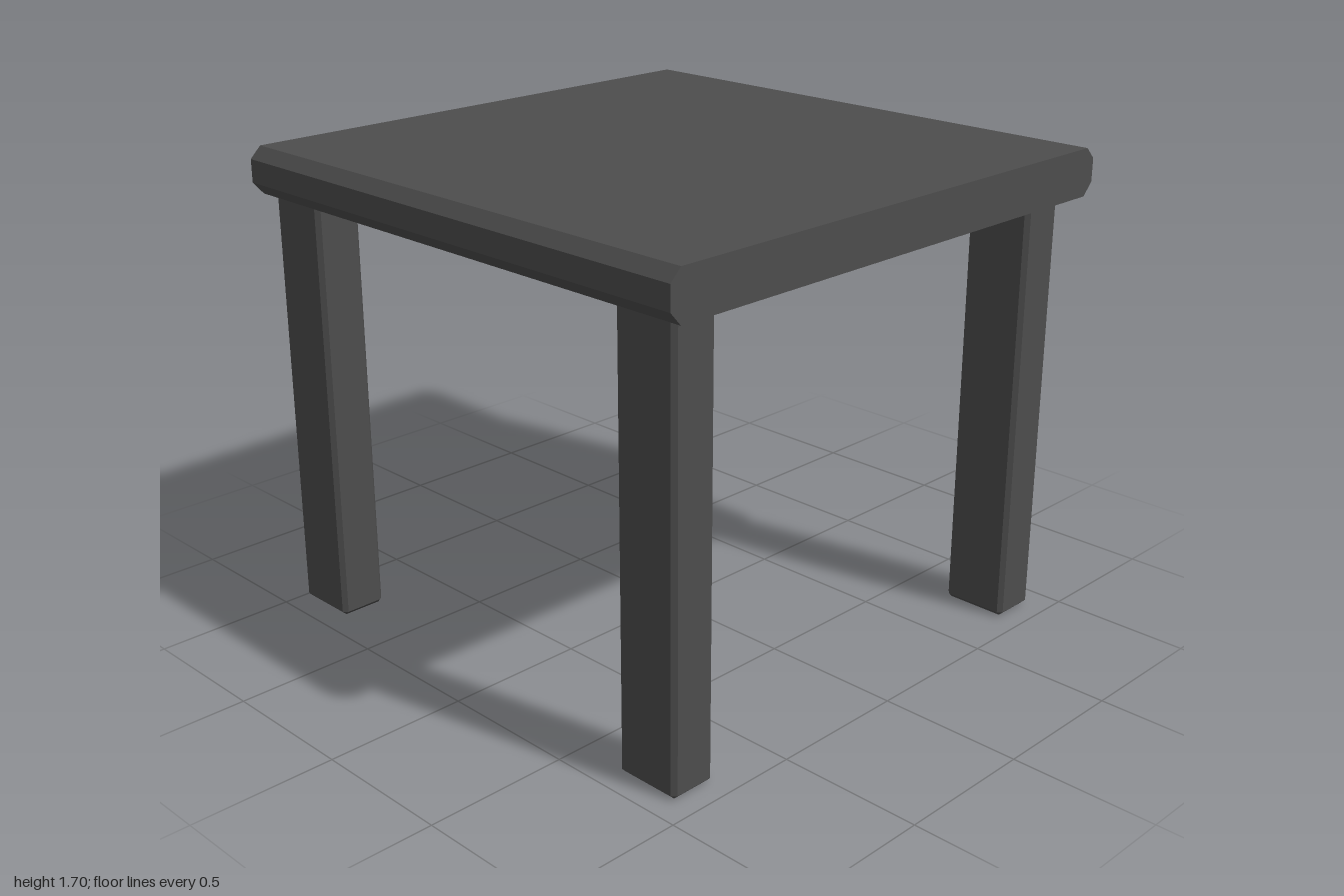
import * as THREE from 'three';
import { ConvexGeometry } from 'three/addons/geometries/ConvexGeometry.js';

const material = new THREE.MeshStandardMaterial({ color: 0x4d4d4d, flatShading: true });

// Box with every edge chamfered: each corner becomes three points
function chamferedBox(width, height, depth, c) {
  const [x, y, z] = [width / 2, height / 2, depth / 2];
  const points = [];
  for (const sx of [-1, 1]) for (const sy of [-1, 1]) for (const sz of [-1, 1]) {
    points.push(
      new THREE.Vector3(sx * x, sy * (y - c), sz * (z - c)),
      new THREE.Vector3(sx * (x - c), sy * y, sz * (z - c)),
      new THREE.Vector3(sx * (x - c), sy * (y - c), sz * z)
    );
  }
  return new ConvexGeometry(points);
}

export function createModel() {
  const table = new THREE.Group();
  table.name = 'table';

  // Table top: octagonal section (front and back edges chamfered) run along x
  const section = new THREE.Shape([
    [1, 1.575], [1, 1.655], [0.96, 1.695], [-0.96, 1.695],
    [-1, 1.655], [-1, 1.575], [-0.96, 1.53], [0.96, 1.53],
  ].map(([z, y]) => new THREE.Vector2(z, y)));
  const topGeometry = new THREE.ExtrudeGeometry(section, { depth: 1.98, bevelEnabled: false });
  topGeometry.translate(0, 0, -0.99).rotateY(-Math.PI / 2);
  const top = new THREE.Mesh(topGeometry, material);
  top.name = 'tableTop';
  table.add(top);

  // Four legs, set slightly off-centre along x and ending inside the top
  const legHeight = 1.56;
  const legGeometry = chamferedBox(0.24, legHeight, 0.17, 0.015);
  for (const [side, x] of [['Right', -0.87], ['Left', 0.8]]) {
    for (const [end, z] of [['front', 0.83], ['back', -0.83]]) {
      const leg = new THREE.Mesh(legGeometry, material);
      leg.name = `${end}${side}Leg`;
      leg.position.set(x, legHeight / 2, z);
      table.add(leg);
    }
  }
  return table;
}
